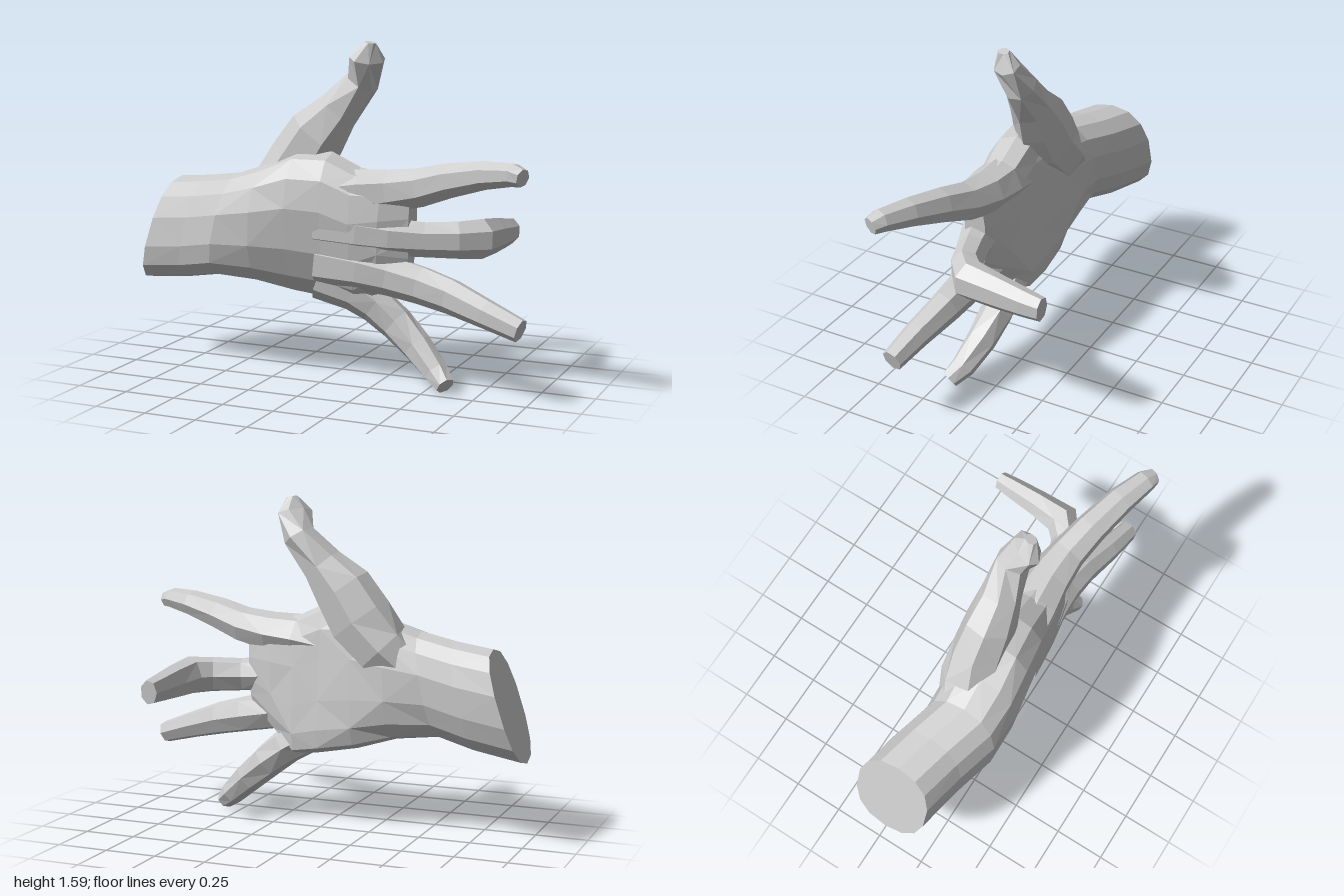
import * as THREE from 'three';

const material = new THREE.MeshStandardMaterial({ color: 0xcccccc, flatShading: true });

// Skin a list of equal-sized rings (counter-clockwise about the direction of travel) and cap both ends.
function skin(name, rings) {
  const n = rings[0].length;
  const positions = [], index = [];
  rings.forEach(ring => ring.forEach(p => positions.push(p.x, p.y, p.z)));
  for (let r = 0; r < rings.length - 1; r++) {
    for (let i = 0; i < n; i++) {
      const a = r * n + i, b = r * n + (i + 1) % n, c = a + n, d = b + n;
      if ((r + i) % 2) index.push(a, b, d, a, d, c);
      else index.push(a, b, c, b, d, c);
    }
  }
  const last = (rings.length - 1) * n;
  for (let i = 1; i < n - 1; i++) {
    index.push(0, i + 1, i);
    index.push(last, last + i, last + i + 1);
  }
  const geometry = new THREE.BufferGeometry();
  geometry.setAttribute('position', new THREE.Float32BufferAttribute(positions, 3));
  geometry.setIndex(index);
  geometry.computeVertexNormals();
  const mesh = new THREE.Mesh(geometry, material);
  mesh.name = name;
  return mesh;
}

// Finger: joints are [x, y, z, half width, half depth] along its centre line.
function finger(name, joints, sides = 7) {
  const centres = joints.map(j => new THREE.Vector3(j[0], j[1], j[2]));
  const rings = joints.map(([, , , width, depth], k) => {
    const before = centres[Math.max(k - 1, 0)];
    const after = centres[Math.min(k + 1, centres.length - 1)];
    const along = after.clone().sub(before).normalize();
    const up = new THREE.Vector3(0, 1, 0);
    up.addScaledVector(along, -up.dot(along)).normalize();
    const side = along.clone().cross(up);
    return Array.from({ length: sides }, (_, i) => {
      const t = (i + 0.25) / sides * Math.PI * 2;
      return centres[k].clone()
        .addScaledVector(up, width * Math.cos(t))
        .addScaledVector(side, depth * Math.sin(t));
    });
  });
  return skin(name, rings);
}

// Wrist and palm: [top x, top y, bottom x, bottom y, palm z, back z, hollow of the palm, curl of the lower edge]
function palm() {
  const sections = [
    [-0.83, 0.91, -1.00, 0.39, -0.13, 0.25, 0, 0],
    [-0.64, 0.93, -0.76, 0.42, -0.08, 0.30, 0, 0],
    [-0.45, 0.96, -0.56, 0.46, -0.02, 0.36, 0, 0],
    [-0.30, 1.01, -0.34, 0.44, -0.04, 0.37, 0.02, 0.03],
    [-0.14, 1.08, -0.16, 0.39, -0.05, 0.355, 0.06, 0.07],
    [0.02, 1.08, 0.02, 0.36, -0.04, 0.33, 0.08, 0.09],
    [0.16, 1.015, 0.15, 0.34, -0.02, 0.31, 0.06, 0.08],
    [0.30, 0.99, 0.27, 0.43, 0.03, 0.27, 0.02, 0.03],
    [0.42, 0.94, 0.41, 0.55, 0.09, 0.20, 0, 0]
  ];
  const sides = 14;
  const round = v => Math.sign(v) * Math.abs(v) ** 0.85;
  return skin('palm', sections.map(([xt, yt, xb, yb, zp, zb, hollow, curl]) =>
    Array.from({ length: sides }, (_, i) => {
      const t = i / sides * Math.PI * 2;
      const u = (round(Math.cos(t)) + 1) / 2, s = round(Math.sin(t));
      return new THREE.Vector3(
        xb + (xt - xb) * u,
        yb + (yt - yb) * u,
        (zp + zb) / 2 + (zb - zp) / 2 * s
          + hollow * Math.max(0, -s) ** 2 - curl * (1 - u) ** 2);
    })));
}

export function createModel() {
  const hand = new THREE.Group();
  hand.name = 'hand';
  hand.add(palm());

  // Thumb with a broad mound at its root
  hand.add(finger('thumb', [
    [-0.42, 0.74, 0.13, 0.12, 0.12],
    [-0.28, 0.88, 0.09, 0.145, 0.14],
    [-0.17, 1.01, 0.08, 0.165, 0.13],
    [-0.08, 1.15, 0.08, 0.15, 0.12],
    [0.02, 1.265, 0.07, 0.105, 0.095],
    [0.13, 1.40, 0.06, 0.08, 0.08],
    [0.175, 1.51, 0.105, 0.06, 0.09],
    [0.19, 1.585, 0.11, 0.025, 0.03]
  ]));

  hand.add(finger('indexFinger', [
    [-0.02, 0.87, 0.17, 0.12, 0.13],
    [0.18, 0.905, 0.155, 0.11, 0.125],
    [0.32, 0.92, 0.15, 0.10, 0.11],
    [0.47, 0.945, 0.165, 0.09, 0.09],
    [0.62, 0.99, 0.20, 0.08, 0.08],
    [0.80, 1.03, 0.25, 0.065, 0.07],
    [0.94, 1.045, 0.30, 0.052, 0.057],
    [0.985, 1.035, 0.32, 0.042, 0.042]
  ]));

  // Middle finger folds towards the palm side
  hand.add(finger('middleFinger', [
    [-0.02, 0.74, 0.20, 0.10, 0.12],
    [0.18, 0.725, 0.185, 0.10, 0.115],
    [0.32, 0.71, 0.17, 0.09, 0.095],
    [0.47, 0.70, 0.13, 0.083, 0.075],
    [0.61, 0.70, 0.08, 0.088, 0.072],
    [0.695, 0.70, 0.01, 0.095, 0.085],
    [0.71, 0.69, -0.14, 0.085, 0.065],
    [0.72, 0.68, -0.28, 0.07, 0.055],
    [0.725, 0.675, -0.37, 0.06, 0.045]
  ]));

  hand.add(finger('ringFinger', [
    [-0.02, 0.57, 0.18, 0.12, 0.13],
    [0.18, 0.55, 0.17, 0.105, 0.12],
    [0.32, 0.525, 0.165, 0.095, 0.10],
    [0.47, 0.495, 0.17, 0.09, 0.085],
    [0.62, 0.46, 0.19, 0.083, 0.075],
    [0.80, 0.405, 0.23, 0.068, 0.065],
    [0.97, 0.35, 0.26, 0.055, 0.052]
  ]));

  hand.add(finger('littleFinger', [
    [-0.04, 0.49, 0.15, 0.11, 0.12],
    [0.12, 0.43, 0.115, 0.10, 0.105],
    [0.22, 0.365, 0.10, 0.09, 0.09],
    [0.32, 0.285, 0.095, 0.085, 0.08],
    [0.43, 0.19, 0.115, 0.075, 0.072],
    [0.54, 0.09, 0.155, 0.06, 0.06],
    [0.60, 0.04, 0.195, 0.045, 0.045]
  ]));

  return hand;
}
